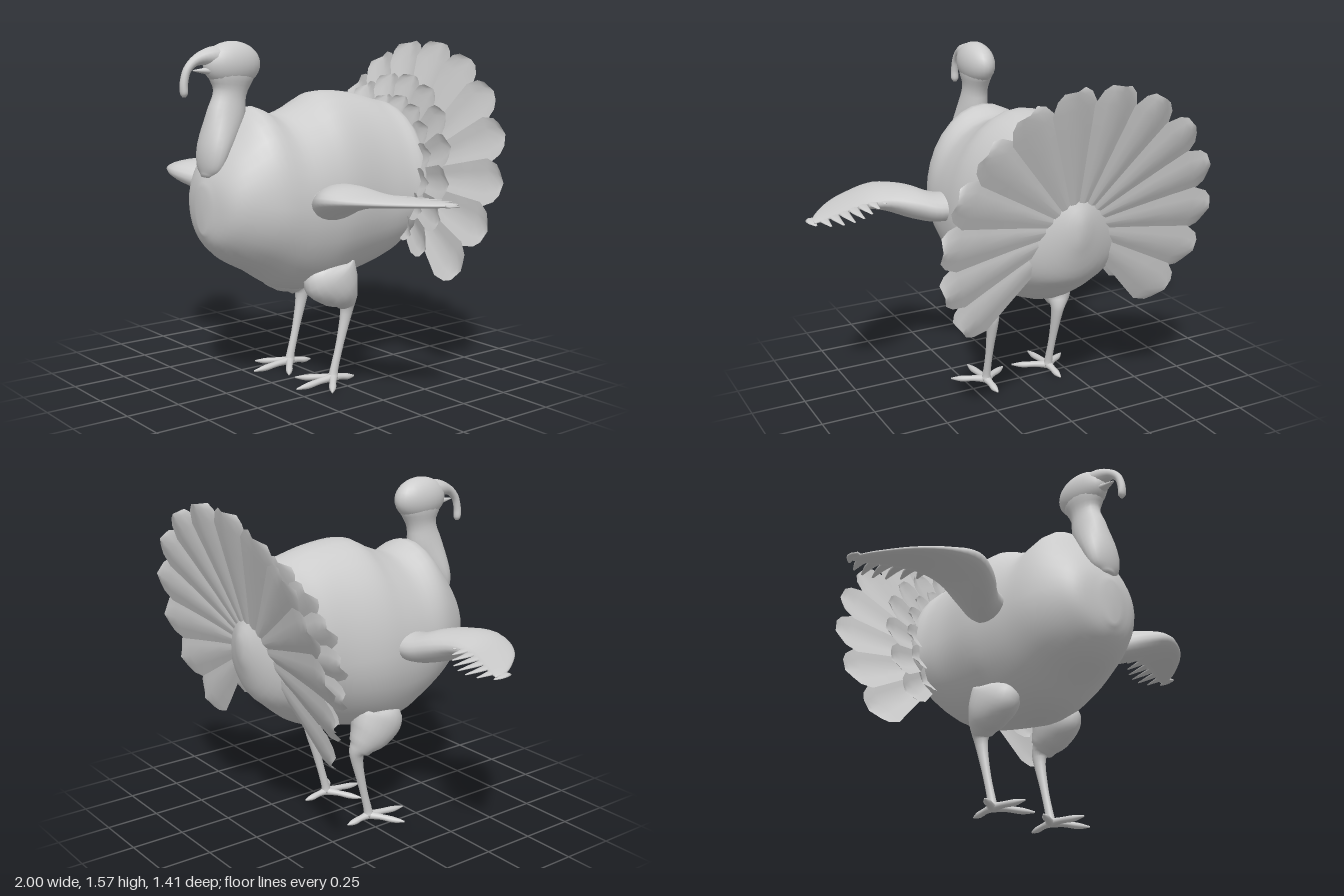
import * as THREE from 'three';

const plumage = new THREE.MeshStandardMaterial({ color: 0xcccccc, side: THREE.DoubleSide });
plumage.name = 'pale grey';

const X = new THREE.Vector3(1, 0, 0);
const Z = new THREE.Vector3(0, 0, 1);

function gridGeometry(pos, index) {
  const g = new THREE.BufferGeometry();
  g.setAttribute('position', new THREE.Float32BufferAttribute(pos, 3));
  g.setIndex(index);
  g.computeVertexNormals();
  return g;
}

function add(parent, name, geometry) {
  const m = new THREE.Mesh(geometry, plumage);
  m.name = name;
  parent.add(m);
  return m;
}

// Smooth sweep through sections [x, y, z, a, b, c]: a is the half width along
// `side`, b and c the half depths on the two other sides. `dir` fixes the rings' facing.
function sweep(sections, side, { dir = null, seg = 20, steps = 4 } = {}) {
  const curve = (f) => new THREE.CatmullRomCurve3(sections.map(f), false, 'catmullrom', 0.5);
  const path = curve((s) => new THREE.Vector3(s[0], s[1], s[2]));
  const size = curve((s) => new THREE.Vector3(s[3], s[4], s[5] ?? s[4]));
  const n = (sections.length - 1) * steps;
  const pos = [], index = [];
  for (let i = 0; i <= n; i++) {
    const c = path.getPoint(i / n), r = size.getPoint(i / n);
    const t = dir ?? path.getTangent(i / n);
    const u = side.clone().addScaledVector(t, -side.dot(t)).normalize();
    const v = new THREE.Vector3().crossVectors(t, u).normalize();
    for (let j = 0; j < seg; j++) {
      const q = (j / seg) * Math.PI * 2, s = Math.sin(q);
      const p = c.clone().addScaledVector(u, r.x * Math.cos(q)).addScaledVector(v, s * (s > 0 ? r.y : r.z));
      pos.push(p.x, p.y, p.z);
      if (i < n) {
        const k = i * seg + j, l = i * seg + ((j + 1) % seg);
        index.push(k, l, l + seg, k, l + seg, k + seg);
      }
    }
  }
  // end caps
  const first = pos.length / 3, last = first + 1;
  pos.push(...path.getPoint(0).toArray(), ...path.getPoint(1).toArray());
  for (let j = 0; j < seg; j++) {
    const k = (j + 1) % seg;
    index.push(first, k, j, last, n * seg + j, n * seg + k);
  }
  return gridGeometry(pos, index);
}

// One tail feather: a ridged blade with a blunt, notched tip, laid on the fan surface
function tailFeather(angle, R, halfStep, zAt) {
  const rows = [[0.12, 0.12], [0.45, 0.47], [0.7, 0.74], [0.87, 0.92], [0.96, 0.72], [1, 0.45]];
  const cols = [-1, -0.5, 0, 0.5, 1];
  const pos = [], index = [];
  rows.forEach(([f, w], i) => {
    cols.forEach((c, j) => {
      const along = f * R, across = c * w * R * Math.tan(halfStep) * 1.06;
      const x = along * Math.sin(angle) + across * Math.cos(angle);
      const dy = along * Math.cos(angle) - across * Math.sin(angle);
      const ridge = 0.025 * (1 - Math.abs(c)) * f + 0.01 * c * f;
      pos.push(x, 0.92 + dy, zAt(x, dy) - ridge);
      if (i < rows.length - 1 && j < cols.length - 1) {
        const k = i * 5 + j;
        index.push(k, k + 1, k + 6, k, k + 6, k + 5);
      }
    });
  });
  return gridGeometry(pos, index);
}

function tail() {
  const g = new THREE.Group();
  g.name = 'tail';
  const layers = [
    ['outerTailFeather', 0.645, (x, dy) => -0.5 - 0.265 * dy - 0.11 * x * x],
    ['middleTailFeather', 0.49, (x, dy) => -0.42 - 0.2 * dy + 0.25 * x * x],
    ['innerTailFeather', 0.39, (x, dy) => -0.39 - 0.22 * dy + 0.4 * x * x],
  ];
  const count = 14, step = THREE.MathUtils.degToRad(19.6);
  for (const [name, R, zAt] of layers) {
    for (let i = 0; i < count; i++) {
      add(g, name, tailFeather((i - (count - 1) / 2) * step, R, step / 2, zAt));
    }
  }
  return g;
}

function body() {
  // z, widest height, half width, top, bottom
  const rows = [
    [0.612, 0.86, 0.05, 0.95, 0.75], [0.575, 0.87, 0.17, 1.04, 0.68], [0.5, 0.88, 0.24, 1.16, 0.61],
    [0.38, 0.87, 0.3, 1.29, 0.545], [0.25, 0.86, 0.32, 1.25, 0.465], [0.12, 0.86, 0.33, 1.29, 0.438],
    [0, 0.86, 0.33, 1.345, 0.455], [-0.18, 0.86, 0.31, 1.335, 0.495], [-0.32, 0.87, 0.315, 1.3, 0.54],
    [-0.42, 0.9, 0.32, 1.265, 0.62], [-0.5, 0.9, 0.17, 1.12, 0.7], [-0.56, 0.94, 0.03, 0.99, 0.88],
  ];
  const sections = rows.map(([z, y, w, top, bottom]) => [0, y, z, w, y - bottom, top - y]);
  return sweep(sections, X, { dir: new THREE.Vector3(0, 0, -1), seg: 32 });
}

function head() {
  const g = new THREE.Group();
  g.name = 'head';
  const skull = new THREE.SphereGeometry(1, 24, 16);
  skull.scale(0.078, 0.1, 0.14);
  skull.translate(0, 1.475, 0.45);
  add(g, 'skull', skull);
  add(g, 'neckAndWattle', sweep([
    [0, 1.48, 0.45, 0.07, 0.125], [0, 1.42, 0.455, 0.068, 0.11], [0, 1.35, 0.463, 0.056, 0.079],
    [0, 1.25, 0.487, 0.07, 0.09], [0, 1.12, 0.545, 0.095, 0.068], [0, 1.03, 0.57, 0.08, 0.045],
    [0, 0.99, 0.588, 0.03, 0.02],
  ], X));
  add(g, 'snood', sweep([
    [0, 1.5, 0.47, 0.06, 0.06], [0, 1.51, 0.56, 0.045, 0.042], [0, 1.495, 0.63, 0.024, 0.024],
    [0, 1.455, 0.675, 0.018, 0.018], [0, 1.4, 0.692, 0.018, 0.018], [0, 1.36, 0.692, 0.019, 0.017],
    [0, 1.342, 0.692, 0.008, 0.008],
  ], X, { seg: 12 }));
  add(g, 'lowerBeak', sweep([
    [0, 1.45, 0.53, 0.04, 0.025], [0, 1.45, 0.59, 0.022, 0.013], [0, 1.452, 0.645, 0.004, 0.003],
  ], X, { seg: 10 }));
  return g;
}

function wing(s) {
  const g = new THREE.Group();
  g.name = s > 0 ? 'leftWing' : 'rightWing';
  // x, y, z, half chord, half thickness
  const arm = [
    [0.24, 0.885, 0.15, 0.09, 0.06], [0.36, 0.885, 0.17, 0.105, 0.068], [0.46, 0.91, 0.23, 0.135, 0.076],
    [0.58, 0.938, 0.275, 0.145, 0.058], [0.7, 0.945, 0.255, 0.125, 0.03], [0.82, 0.945, 0.185, 0.1, 0.018],
    [0.92, 0.942, 0.1, 0.06, 0.012], [0.97, 0.94, 0.05, 0.025, 0.006],
  ].map(([x, ...rest]) => [x * s, ...rest]);
  add(g, 'wingArm', sweep(arm, Z, { dir: new THREE.Vector3(s, 0, 0) }));
  // finger feathers along the trailing edge
  const count = 8;
  for (let i = 0; i < count; i++) {
    const f = i / (count - 1);
    const x = 0.6 + 0.36 * f, z = 0.2 - 0.11 * f * f;
    const tip = 0.13 - 0.24 * f + 0.13 * f ** 4 - 0.04 * Math.sin(f * Math.PI);
    const y = 0.955 - 0.015 * f;
    add(g, 'wingFeather', sweep([
      [x * s, y, z, 0.026, 0.006], [(x + 0.016) * s, y, (z + tip) / 2, 0.024, 0.005],
      [(x + 0.006) * s, y - 0.01, tip, 0.005, 0.002],
    ], X, { seg: 8, steps: 3 }));
  }
  return g;
}

function leg(s) {
  const g = new THREE.Group();
  g.name = s > 0 ? 'leftLeg' : 'rightLeg';
  add(g, 'thighAndShank', sweep([
    [0.18, 0.575, 0.07, 0.045, 0.07], [0.185, 0.535, 0.06, 0.085, 0.143], [0.19, 0.465, 0.012, 0.085, 0.115],
    [0.185, 0.405, -0.035, 0.06, 0.065], [0.175, 0.355, -0.055, 0.03, 0.034], [0.172, 0.2, -0.02, 0.018, 0.02],
    [0.17, 0.07, 0.015, 0.018, 0.02], [0.17, 0.03, 0.022, 0.024, 0.026],
  ].map(([x, ...rest]) => [x * s, ...rest]), X));
  // toes: x offset, z offset
  for (const [dx, dz] of [[0, 0.21], [0.135, 0.11], [-0.145, 0.11], [0, -0.125]]) {
    const side = new THREE.Vector3(dz, 0, -dx * s).normalize();
    const at = (f, y, a, b) => [(0.17 + dx * f) * s, y, 0.022 + dz * f, a, b];
    add(g, 'toe', sweep([
      at(0, 0.03, 0.022, 0.02), at(0.35, 0.026, 0.016, 0.014), at(0.7, 0.018, 0.016, 0.014), at(1, 0.014, 0.003, 0.004),
    ], side, { seg: 10 }));
  }
  return g;
}

export function createModel() {
  const model = new THREE.Group();
  model.name = 'turkey';
  add(model, 'body', body());
  model.add(head(), tail());
  for (const s of [1, -1]) model.add(wing(s), leg(s));
  return model;
}
